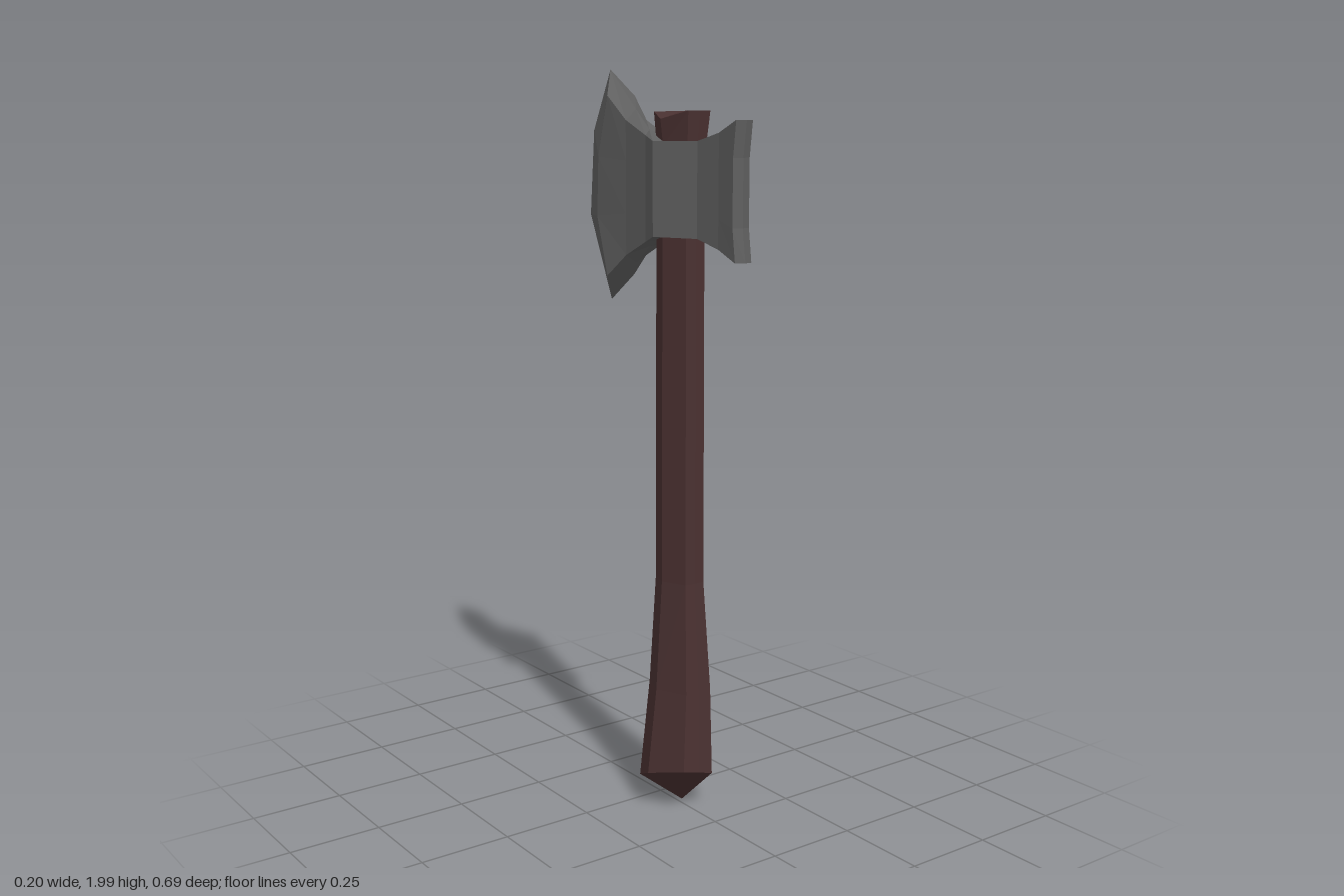
import * as THREE from 'three';

const steel = new THREE.MeshStandardMaterial({ color: 0x606060, flatShading: true });
const wood = new THREE.MeshStandardMaterial({ color: 0x4a3131, flatShading: true });

// Skins a list of closed rings (arrays of Vector3), dropping collapsed triangles.
function loft(rings) {
  const pos = [];
  const tri = (a, b, c) => {
    const area = b.clone().sub(a).cross(c.clone().sub(a)).length();
    if (area > 1e-7) for (const p of [a, b, c]) pos.push(p.x, p.y, p.z);
  };
  for (let i = 0; i < rings.length - 1; i++) {
    const n = rings[i].length;
    for (let j = 0; j < n; j++) {
      const k = (j + 1) % n;
      tri(rings[i][j], rings[i][k], rings[i + 1][k]);
      tri(rings[i][j], rings[i + 1][k], rings[i + 1][j]);
    }
  }
  const geo = new THREE.BufferGeometry();
  geo.setAttribute('position', new THREE.Float32BufferAttribute(pos, 3));
  geo.computeVertexNormals();
  return geo;
}

// Handle: eight-sided rings, flattened front and back, flaring to a slanted foot.
function makeHandle() {
  const section = [[0, 1], [0.52, 0.97], [1, 0], [0.52, -0.94], [0, -1], [-0.52, -0.94], [-1, 0], [-0.52, 0.97]];
  // y, centre x, centre z, half width, half depth, slope along x, slope along z, drop of the side corners
  const rings = [
    [0.01, 0.015, 0.08, 0, 0, 0, 0, 0],
    [0.09, -0.007, 0.078, 0.092, 0.107, -0.27, 0.37, 0],
    [0.35, 0.007, 0.078, 0.078, 0.088, 0, 0, 0],
    [0.65, 0.007, 0.076, 0.058, 0.07, 0, 0, 0],
    [1.6, 0.005, 0.078, 0.056, 0.068, 0, 0, 0],
    [1.8, 0.007, 0.079, 0.057, 0.069, 0, 0, 0],
    [1.885, 0.008, 0.08, 0.067, 0.077, 0, 0, 0.02],
    [1.885, 0.008, 0.08, 0, 0, 0, 0, 0],
  ].map(([y, cx, cz, w, d, sx, sz, drop]) => section.map(([u, v]) =>
    new THREE.Vector3(cx + u * w, y + u * w * sx + v * d * sz - (Math.abs(u) === 1 ? drop : 0), cz + v * d)));
  const mesh = new THREE.Mesh(loft(rings), wood);
  mesh.name = 'handle';
  return mesh;
}

// Head: stations from the hammer end to the cutting edge.
// Each has a half width, four [y, z] side points and the top and bottom ridge points.
function makeHead() {
  const flat = (w, z, ys) => ({ w, side: ys.map((y) => [y, z]) });
  const stations = [
    { w: 0, side: [[1.86, 0.345], [1.77, 0.333], [1.6, 0.333], [1.515, 0.345]] },
    { w: 0.026, side: [[1.86, 0.336], [1.77, 0.325], [1.6, 0.325], [1.515, 0.336]] },
    flat(0.023, 0.265, [1.83, 1.76, 1.62, 1.545]),
    flat(0.032, 0.19, [1.81, 1.75, 1.63, 1.568]),
    flat(0.09, 0.08, [1.81, 1.75, 1.63, 1.57]),
    { ...flat(0.034, -0.03, [1.825, 1.75, 1.63, 1.55]), ridge: [[1.84, -0.06], [1.535, -0.06]] },
    { ...flat(0.034, -0.12, [1.865, 1.76, 1.62, 1.51]), ridge: [[1.893, -0.12], [1.49, -0.12]] },
    { w: 0.045, side: [[1.93, -0.19], [1.77, -0.235], [1.61, -0.242], [1.45, -0.195]], ridge: [[2, -0.24], [1.38, -0.24]] },
    { w: 0, side: [[2, -0.24], [1.84, -0.322], [1.61, -0.342], [1.38, -0.24]] },
  ];
  const cx = 0.007;
  const rings = stations.map(({ w, side, ridge = [side[0], side[3]] }) => {
    const at = (x) => ([y, z]) => new THREE.Vector3(cx + x, y, z);
    return [at(0)(ridge[0]), ...side.map(at(w)), at(0)(ridge[1]), ...side.map(at(-w)).reverse()];
  });
  const mesh = new THREE.Mesh(loft(rings), steel);
  mesh.name = 'axeHead';
  return mesh;
}

export function createModel() {
  const axe = new THREE.Group();
  axe.name = 'axe';
  axe.add(makeHandle(), makeHead());
  return axe;
}
